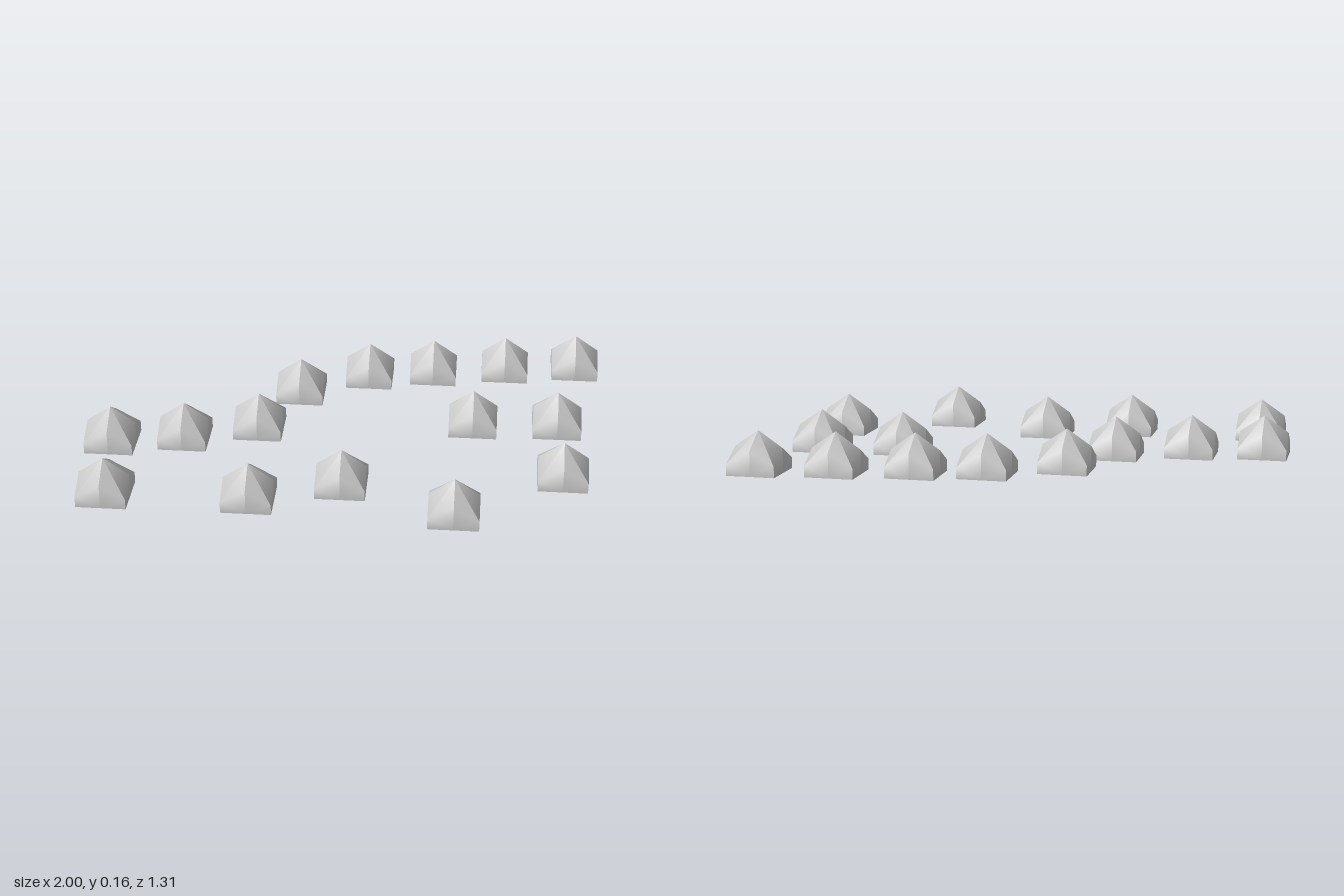
import * as THREE from 'three';

const HALF = 0.094;    // half the width of the square footprint
const CORNER = 0.042;  // wall height at the corners
const RIDGE = 0.095;   // wall height at the middle of each side
const PEAK = 0.159;    // top of the canopy

// Canvas shell: four sides, each of two mirrored halves (wall + roof panel).
// A half is smooth within itself and creased against its neighbours.
function tentGeometry() {
  const positions = [];
  const index = [];
  for (let side = 0; side < 4; side++) {
    for (const s of [1, -1]) {
      const start = positions.length / 3;
      const points = [
        [0, 0, HALF],
        [s * HALF, 0, HALF],
        [s * HALF, CORNER, HALF],
        [0, RIDGE, HALF],
        [0, PEAK, 0],
      ];
      for (const p of points) {
        const v = new THREE.Vector3(...p).applyAxisAngle(new THREE.Vector3(0, 1, 0), side * Math.PI / 2);
        positions.push(v.x, v.y, v.z);
      }
      for (const [a, b, c] of [[0, 1, 2], [0, 2, 3], [3, 2, 4]]) {
        index.push(start + a, start + (s > 0 ? b : c), start + (s > 0 ? c : b));
      }
    }
  }
  const geometry = new THREE.BufferGeometry();
  geometry.setAttribute('position', new THREE.Float32BufferAttribute(positions, 3));
  geometry.setIndex(index);
  geometry.computeVertexNormals();
  return geometry;
}

export function createModel() {
  const model = new THREE.Group();
  model.name = 'tentCamp';
  const material = new THREE.MeshStandardMaterial({ color: 0xcccccc });
  const canopy = tentGeometry();
  const floor = new THREE.PlaneGeometry(2 * HALF, 2 * HALF).rotateX(Math.PI / 2);

  // Tent centres on the ground, x and z
  const places = [
    // back row
    [-0.906, 0.16], [-0.628, 0.11], [-0.346, 0.013], [-0.21, -0.275],
    [0.06, -0.427], [0.321, -0.476], [0.615, -0.523], [0.905, -0.563],
    // middle
    [0.493, -0.075], [0.823, -0.091],
    // front row
    [-0.86, 0.527], [-0.323, 0.519], [0.012, 0.4], [0.438, 0.561], [0.838, 0.28],
  ];
  places.forEach(([x, z], i) => {
    const tent = new THREE.Group();
    tent.name = `tent${i + 1}`;
    const canopyMesh = new THREE.Mesh(canopy, material);
    canopyMesh.name = 'canopy';
    const floorMesh = new THREE.Mesh(floor, material);
    floorMesh.name = 'floor';
    tent.add(canopyMesh, floorMesh);
    tent.position.set(x, 0, z);
    model.add(tent);
  });
  return model;
}
